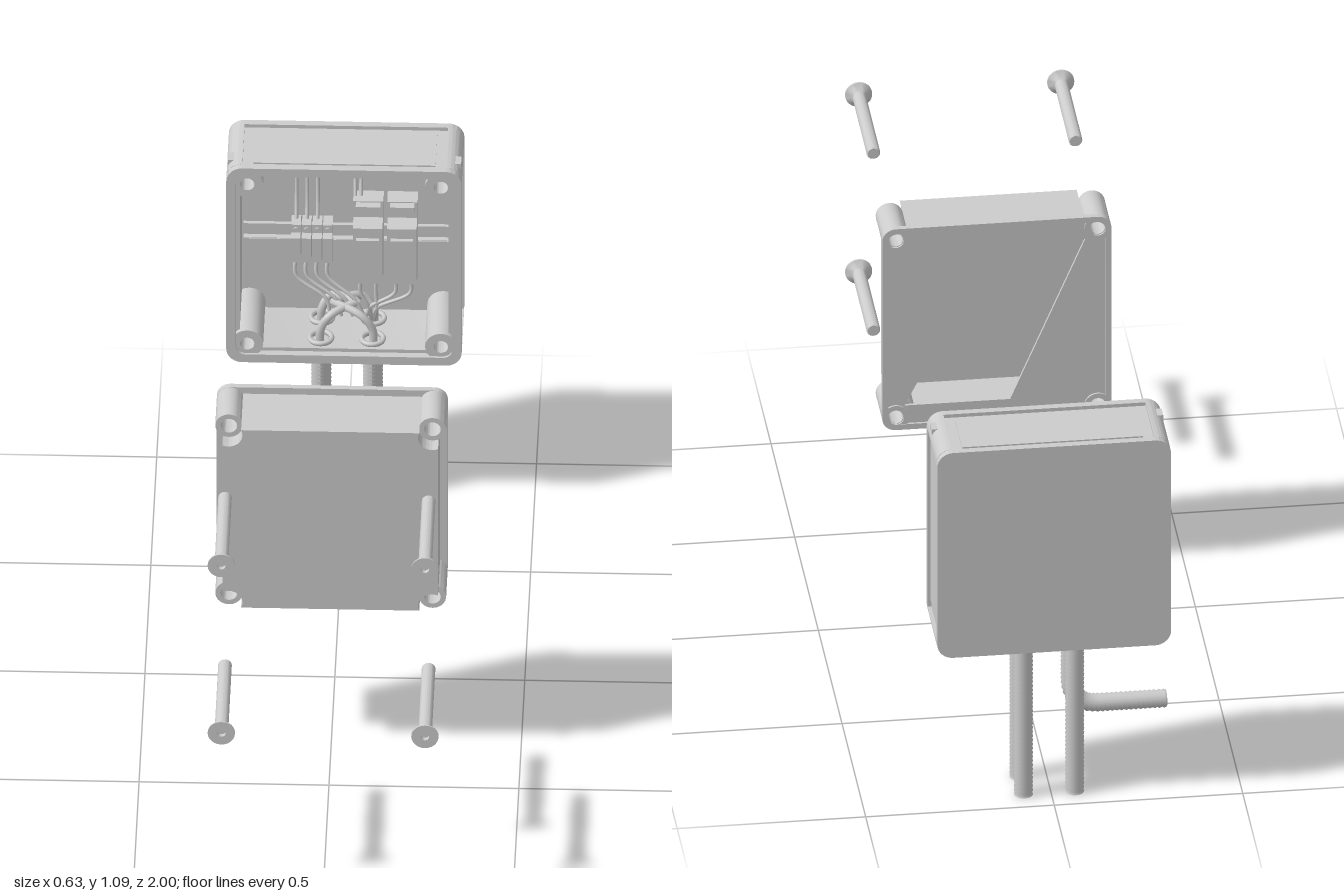
import * as THREE from 'three';
import { toCreasedNormals } from 'three/addons/utils/BufferGeometryUtils.js';

const CY = 0.775; // height of the box centre
const grey = new THREE.MeshStandardMaterial({ color: 0xcccccc });
const thin = new THREE.MeshStandardMaterial({ color: 0xcccccc, side: THREE.DoubleSide });
const corners = [[1, 1], [-1, 1], [-1, -1], [1, -1]];

function add(parent, name, geometry, x = 0, y = 0, z = 0, material = grey) {
  const mesh = new THREE.Mesh(geometry, material);
  mesh.name = name;
  mesh.position.set(x, y, z);
  parent.add(mesh);
  return mesh;
}
const box = (parent, name, w, h, d, x, y, z) => add(parent, name, new THREE.BoxGeometry(w, h, d), x, y, z);

function extrude(parent, name, shape, z0, z1, x = 0, y = 0) {
  const g = new THREE.ExtrudeGeometry(shape, { depth: z1 - z0, bevelEnabled: false, curveSegments: 10 });
  return add(parent, name, toCreasedNormals(g, 0.6), x, y, z0);
}

// Square outline with rounded corners
function roundedSquare(h, r, Type = THREE.Shape) {
  const s = new Type();
  const c = h - r;
  corners.forEach(([sx, sy], i) => s.absarc(sx * c, sy * c, r, i * Math.PI / 2, (i + 1) * Math.PI / 2, false));
  s.closePath();
  return s;
}

// Square outline with a round bite of radius r, centred on c, out of each corner
function notchedSquare(h, c, r, Type = THREE.Shape) {
  const s = new Type();
  const a = Math.acos((h - c) / r);
  corners.forEach(([sx, sy], i) => {
    const q = i * Math.PI / 2;
    s.absarc(sx * c, sy * c, r, q - a, q - 1.5 * Math.PI + Math.PI / 2 - (Math.PI / 2 - a), true);
  });
  s.closePath();
  return s;
}

function circle(r, x = 0, y = 0, Type = THREE.Path) {
  const s = new Type();
  s.absarc(x, y, r, 0, Math.PI * 2, false);
  return s;
}
function withHoles(shape, ...holes) {
  shape.holes.push(...holes);
  return shape;
}
const ring = (r, hole) => withHoles(circle(r, 0, 0, THREE.Shape), circle(hole));

// Rounded outline whose four sides step inward to form shallow panels
function panelledSquare(h, r, half, depth) {
  const s = new THREE.Shape();
  corners.forEach(([sx, sy], i) => {
    const q = i * Math.PI / 2;
    s.absarc(sx * (h - r), sy * (h - r), r, q, q + Math.PI / 2, false);
    for (const [u, v] of [[half, h], [half, h - depth], [-half, h - depth], [-half, h]]) {
      s.lineTo(u * Math.cos(q) - v * Math.sin(q), u * Math.sin(q) + v * Math.cos(q));
    }
  });
  s.closePath();
  return s;
}

// Ribbed hose: a tube whose rings alternate between two radii
function conduit(parent, name, path) {
  const n = Math.round(path.getLength() / 0.0063);
  const sides = 16;
  const g = new THREE.TubeGeometry(path, n, 0.0255, sides, false);
  const p = g.attributes.position;
  const v = new THREE.Vector3();
  for (let i = 0; i <= n; i += 2) {
    const c = path.getPointAt(i / n);
    for (let j = 0; j <= sides; j++) {
      const k = i * (sides + 1) + j;
      v.fromBufferAttribute(p, k).sub(c).multiplyScalar(0.88).add(c);
      p.setXYZ(k, v.x, v.y, v.z);
    }
  }
  g.computeVertexNormals();
  return add(parent, name, g, 0, 0, 0, thin);
}

function wire(parent, name, r, ...pts) {
  const path = new THREE.CatmullRomCurve3(pts.map((p) => new THREE.Vector3(...p)));
  return add(parent, name, new THREE.TubeGeometry(path, 24, r, 8, false), 0, 0, 0, thin);
}

function makeEnclosure() {
  const g = new THREE.Group();
  g.name = 'enclosure';
  const shell = new THREE.Group();
  shell.name = 'enclosureShell';
  shell.position.y = CY;
  g.add(shell);
  extrude(shell, 'backPlate', roundedSquare(0.31, 0.042), -1, -0.98);
  extrude(shell, 'sideWalls', withHoles(panelledSquare(0.31, 0.04, 0.268, 0.01),
    roundedSquare(0.275, 0.02, THREE.Path)), -0.98, -0.795);
  extrude(shell, 'frontRim', withHoles(roundedSquare(0.31, 0.042),
    roundedSquare(0.285, 0.025, THREE.Path)), -0.795, -0.775);
  for (const [sx, sy] of corners) {
    extrude(shell, 'screwPost', ring(0.042, 0.019), -0.98, -0.782, sx * 0.255, sy * 0.255);
  }
  // raised pads inside the side panels
  for (let i = 0; i < 4; i++) {
    const a = i * Math.PI / 2;
    const pad = box(shell, 'sidePanelPad', 0.008, 0.48, 0.15, 0.3 * Math.cos(a), 0.3 * Math.sin(a), -0.887);
    pad.rotation.z = a;
  }
  for (const s of [-1, 1]) box(shell, 'cornerCatch', 0.022, 0.016, 0.036, s * 0.296, 0.296, -0.84);
  return g;
}

function makeElectrics() {
  const g = new THREE.Group();
  g.name = 'electrics';
  // mounting rail with folded lips
  box(g, 'railWeb', 0.54, 0.035, 0.008, 0, 0.765, -0.962);
  for (const s of [-1, 1]) {
    box(g, 'railSide', 0.54, 0.005, 0.024, 0, 0.765 + s * 0.018, -0.954);
    box(g, 'railLip', 0.54, 0.014, 0.005, 0, 0.765 + s * 0.024, -0.942);
  }
  // terminal blocks with a stepped front, each with a wire up and down
  for (let i = 0; i < 4; i++) {
    const x = -0.13 + i * 0.028;
    box(g, 'terminalBase', 0.025, 0.12, 0.045, x, 0.765, -0.917);
    box(g, 'terminalFront', 0.025, 0.07, 0.03, x, 0.765, -0.882);
    for (const s of [-1, 1]) {
      const screw = add(g, 'terminalScrew', new THREE.CylinderGeometry(0.007, 0.007, 0.006, 10), x, 0.765 + s * 0.046, -0.893);
      screw.rotation.x = Math.PI / 2;
    }
    if (i < 3) wire(g, 'upperWire', 0.005, [x, 0.81, -0.92], [x, 0.87, -0.945], [x, 0.95, -0.955], [x, 1.045, -0.955]);
    wire(g, 'lowerWire', 0.005, [x, 0.72, -0.91], [x, 0.66, -0.9], [-0.05 + i * 0.025, 0.6, -0.88], [-0.04 + i * 0.03, 0.55, -0.875]);
  }
  // relays: socket, stepped body and terminal ears
  for (const x of [0.06, 0.15]) {
    box(g, 'relaySocket', 0.08, 0.25, 0.05, x, 0.775, -0.925);
    box(g, 'relayBody', 0.078, 0.17, 0.055, x, 0.765, -0.873);
    box(g, 'relayFace', 0.06, 0.11, 0.014, x, 0.765, -0.84);
    for (const s of [-1, 1]) {
      box(g, 'relayTerminal', 0.065, 0.028, 0.025, x, 0.775 + s * 0.108, -0.89);
      wire(g, 'relayWire', 0.005, [x + s * 0.02, 0.665, -0.9], [x + s * 0.02, 0.61, -0.9], [0.073 + s * 0.01, 0.56, -0.9], [0.073, 0.5, -0.92]);
    }
  }
  for (const x of [0.025, 0.04]) wire(g, 'upperWire', 0.005, [x, 0.88, -0.92], [x, 0.95, -0.95], [x, 1.045, -0.955]);
  return g;
}

function makeConduits() {
  const g = new THREE.Group();
  g.name = 'conduits';
  const V = (x, y, z) => new THREE.Vector3(x, y, z);
  for (const x of [-0.063, 0.073]) {
    for (const z of [-0.835, -0.93]) {
      const path = new THREE.CurvePath();
      if (x < 0 && z > -0.9) {
        path.add(new THREE.LineCurve3(V(x, 0.51, z), V(x, 0.285, z)));
        path.add(new THREE.QuadraticBezierCurve3(V(x, 0.285, z), V(x, 0.209, z), V(x - 0.076, 0.209, z)));
        path.add(new THREE.LineCurve3(V(x - 0.076, 0.209, z), V(-0.318, 0.209, z)));
        conduit(g, 'bentConduit', path);
      } else {
        path.add(new THREE.LineCurve3(V(x, 0.51, z), V(x, 0, z)));
        conduit(g, 'straightConduit', path);
      }
      const collar = add(g, 'conduitCollar', new THREE.TorusGeometry(0.029, 0.007, 8, 24), x, 0.507, z);
      collar.rotation.x = Math.PI / 2;
      // thick cable arching out of the hose toward the wiring
      wire(g, 'cable', 0.011, [x, 0.47, z], [x, 0.535, z], [x * 0.6, 0.575, z - 0.005], [-x * 0.5, 0.59, -0.885]);
    }
  }
  return g;
}

function makeLid() {
  const g = new THREE.Group();
  g.name = 'lid';
  g.position.y = CY;
  const c = 0.268;
  const holes = () => corners.map(([sx, sy]) => circle(0.02, sx * c, sy * c));
  extrude(g, 'lidFront', notchedSquare(0.284, c, 0.037), 0.38, 0.395);
  extrude(g, 'lidWalls', withHoles(notchedSquare(0.284, c, 0.037),
    notchedSquare(0.262, c, 0.055, THREE.Path)), 0.225, 0.38);
  // inner plate with a slanted four-sided opening
  const opening = new THREE.Path([[0.244, -0.235], [-0.036, -0.235], [-0.235, 0.235], [0.01, 0.235]]
    .map(([x, y]) => new THREE.Vector2(x, y)));
  extrude(g, 'lidBackPlate', withHoles(roundedSquare(0.3, 0.034), opening, ...holes()), 0.217, 0.226);
  extrude(g, 'lidRim', withHoles(roundedSquare(0.304, 0.036), roundedSquare(0.288, 0.022, THREE.Path)), 0.21, 0.226);
  for (const [sx, sy] of corners) {
    extrude(g, 'lidScrewSleeve', ring(0.036, 0.022), 0.212, 0.352, sx * c, sy * c);
  }
  return g;
}

function makeScrew() {
  // profile from tip to head, ending in a socket
  const profile = [[0, 0], [0.015, 0], [0.018, 0.004], [0.018, 0.3], [0.028, 0.31], [0.036, 0.315],
    [0.036, 0.32], [0.011, 0.32], [0.011, 0.308], [0, 0.308]];
  const lathe = new THREE.LatheGeometry(profile.map(([r, y]) => new THREE.Vector2(r, y)), 24);
  return toCreasedNormals(lathe, 0.5).rotateX(Math.PI / 2);
}

export function createModel() {
  const model = new THREE.Group();
  model.name = 'explodedJunctionBox';
  model.add(makeEnclosure(), makeElectrics(), makeConduits(), makeLid());
  const screw = makeScrew();
  for (const [sx, sy] of corners) add(model, 'lidScrew', screw, sx * 0.268, CY + sy * 0.268, 0.68);
  return model;
}
